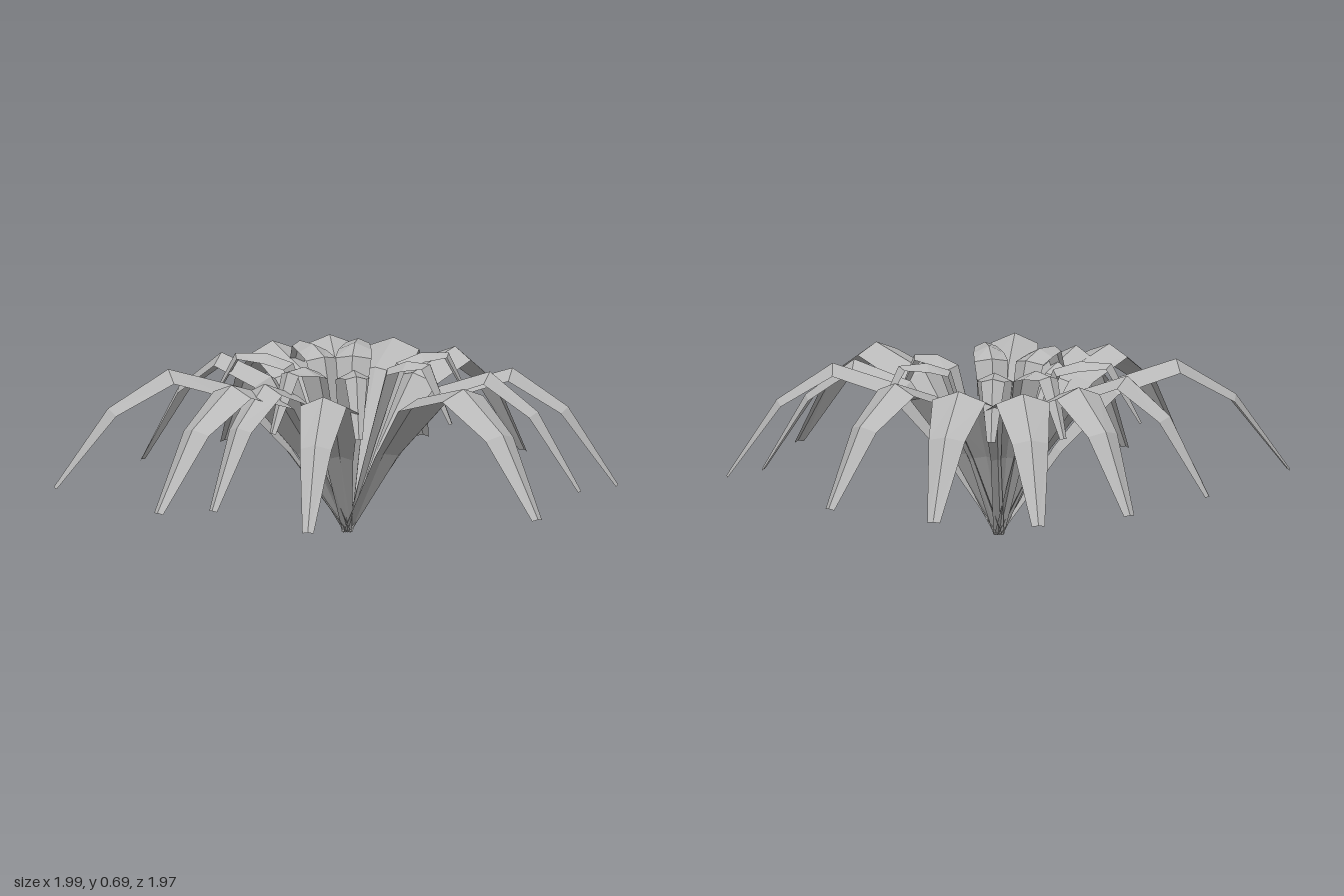
import * as THREE from 'three';

// Midrib profiles: [reach fraction, height, width factor, fold depth]
const OUTER = [
  [0, 0, 0.2, 0], [0.19, 0.34, 0.6, 0.02], [0.37, 0.59, 1.15, 0.04],
  [0.61, 0.668, 1, 0.04], [0.815, 0.52, 0.68, 0.028], [1, 0.215, 0.24, 0.008],
];
const INNER = [
  [0, 0, 0.25, 0], [0.2, 0.36, 0.65, 0.015], [0.38, 0.66, 1.1, 0.03],
  [0.57, 0.695, 1, 0.03], [0.79, 0.69, 0.72, 0.022], [1, 0.46, 0.25, 0.006],
];

// Tip offset from the root in x and z, then half width
const OUTER_LEAVES = [
  [-0.13, -0.905, 0.108], [0.355, -0.82, 0.104], [1.005, -0.35, 0.08], [0.935, -0.17, 0.068],
  [1.05, 0.425, 0.105], [0.37, 1.065, 0.092], [-0.16, 0.845, 0.08], [-0.33, 0.98, 0.104],
  [-0.93, 0.69, 0.104], [-0.885, 0.03, 0.085], [-0.77, -0.46, 0.102], [-0.535, -0.805, 0.106],
];
const INNER_LEAVES = [
  [-0.18, -0.47, 0.065], [-0.41, -0.29, 0.06], [-0.545, 0.145, 0.062], [-0.095, 0.46, 0.06],
  [0.26, 0.41, 0.06], [0.44, -0.035, 0.065], [0.385, -0.345, 0.045],
];

// Folded leaf blade: a raised midrib with an edge on either side at each station
function leafGeometry(profile, [tx, tz, halfWidth]) {
  const reach = Math.hypot(tx, tz);
  const out = new THREE.Vector3(tx / reach, 0, tz / reach);
  const side = new THREE.Vector3(-out.z, 0, out.x);
  const rows = profile.map(([f, y, w, fold], i) => {
    const a = profile[Math.max(i - 1, 0)];
    const b = profile[Math.min(i + 1, profile.length - 1)];
    const dr = (b[0] - a[0]) * reach, dy = b[1] - a[1], len = Math.hypot(dr, dy);
    const rib = out.clone().multiplyScalar(f * reach).setY(y);
    const low = rib.clone().addScaledVector(out, (dy / len) * fold);
    low.y -= (dr / len) * fold;
    return [
      low.clone().addScaledVector(side, -w * halfWidth),
      rib,
      low.clone().addScaledVector(side, w * halfWidth),
    ];
  });
  const points = [];
  for (let i = 0; i < rows.length - 1; i++) {
    for (let j = 0; j < 2; j++) {
      const a = rows[i][j], b = rows[i][j + 1], c = rows[i + 1][j + 1], d = rows[i + 1][j];
      points.push(a, b, c, a, c, d);
    }
  }
  const geometry = new THREE.BufferGeometry().setFromPoints(points);
  // Turn every face so its front is the upper side of the blade
  const p = geometry.attributes.position;
  for (let i = 0; i < p.count; i += 3) {
    const [a, b, c] = [0, 1, 2].map((k) => new THREE.Vector3().fromBufferAttribute(p, i + k));
    const n = b.clone().sub(a).cross(c.clone().sub(a));
    if (n.y < 0) {
      p.setXYZ(i + 1, c.x, c.y, c.z);
      p.setXYZ(i + 2, b.x, b.y, b.z);
    }
  }
  geometry.computeVertexNormals();
  return geometry;
}

export function createModel() {
  const leafGrey = new THREE.MeshStandardMaterial({
    color: 0xb8b8b8, flatShading: true, side: THREE.DoubleSide,
  });
  leafGrey.name = 'leaf grey';

  const plant = new THREE.Group();
  plant.name = 'plant';
  const addRing = (name, profile, leaves) => {
    const ring = new THREE.Group();
    ring.name = name + 'Leaves';
    leaves.forEach((leaf, i) => {
      const mesh = new THREE.Mesh(leafGeometry(profile, leaf), leafGrey);
      mesh.name = name + 'Leaf' + (i + 1);
      ring.add(mesh);
    });
    ring.position.set(-0.056, 0, -0.083); // common root
    plant.add(ring);
  };

  // Long drooping leaves around shorter upright ones
  addRing('outer', OUTER, OUTER_LEAVES);
  addRing('inner', INNER, INNER_LEAVES);
  return plant;
}
